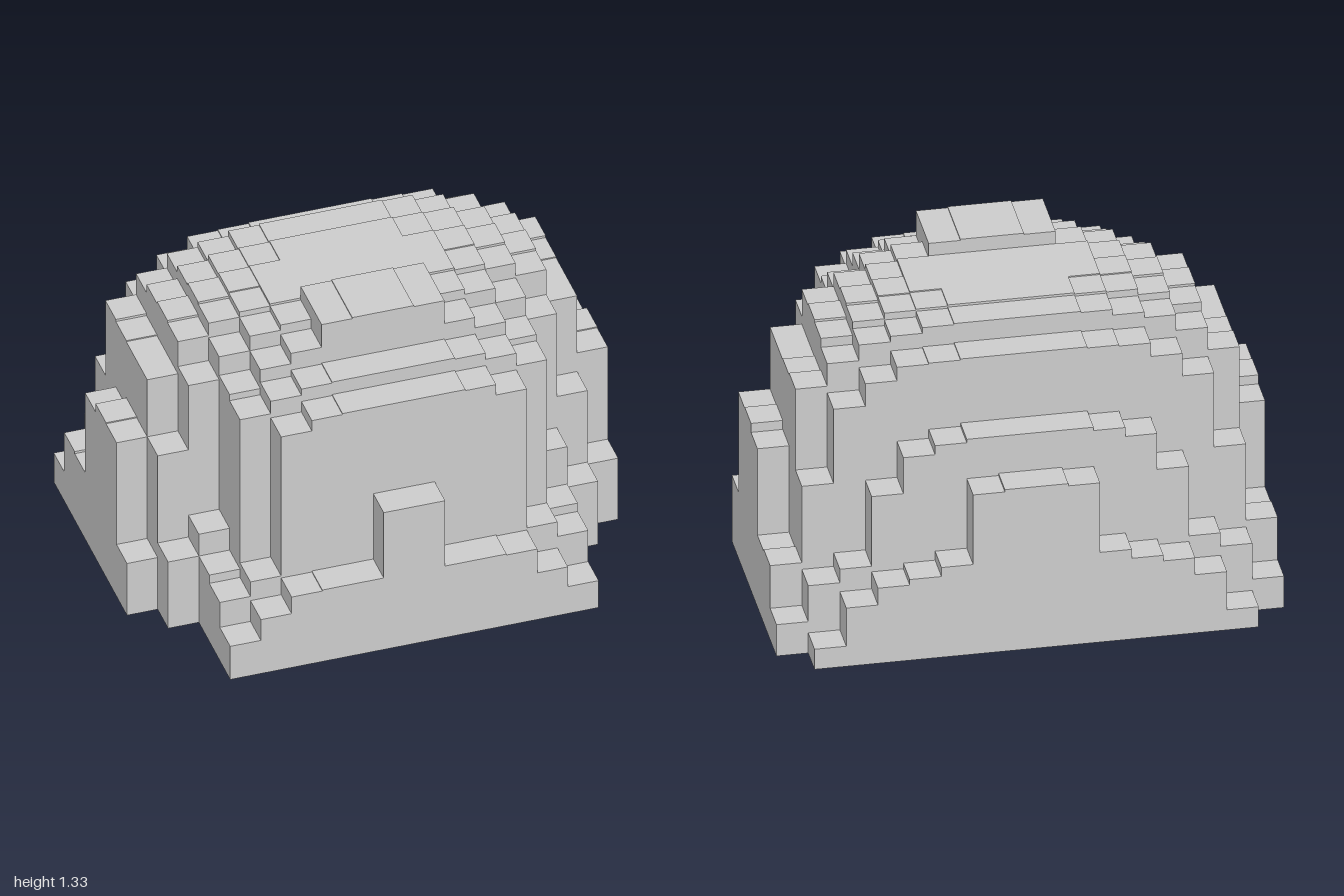
import * as THREE from 'three';
import { mergeGeometries } from 'three/addons/utils/BufferGeometryUtils.js';

const CELL_X = 0.125, CELL_Z = 0.13, COLUMNS = 16, ROWS = 12;

// Heights of each terrace row, back to front, from the middle column outwards.
const rows = [
  ['backStep', [0.72, 0.71, 0.40, 0.36, 0.335, 0.26, 0.09]],
  ['backLowerTerrace', [0.885, 0.885, 0.87, 0.83, 0.67, 0.36, 0.30, 0.14]],
  ['backUpperTerrace', [1.17, 1.17, 1.165, 1.16, 1.10, 1.0, 0.67, 0.33]],
  ['crownBackEdge', [1.255, 1.255, 1.25, 1.225, 1.20, 1.13, 1.03, 0.32]],
  ['crownBack', [1.265, 1.265, 1.26, 1.255, 1.23, 1.17, 1.02, 0.705]],
  ['crownMiddle', [1.265, 1.265, 1.265, 1.26, 1.24, 1.18, 1.015, 0.745]],
  ['crownFront', [1.265, 1.265, 1.265, 1.255, 1.23, 1.17, 1.015, 0.74]],
  ['peakBack', [1.325, 1.32, 1.255, 1.23, 1.16, 1.05, 0.65, 0.295]],
  ['peakFront', [1.325, 1.32, 1.21, 1.16, 1.07, 0.50, 0.305]],
  ['frontUpperTerrace', [1.135, 1.135, 1.13, 1.10, 1.04, 0.32]],
  ['frontLowerTerrace', [1.075, 1.075, 1.07, 1.02, 0.35, 0.28]],
  ['frontStep', [0.66, 0.345, 0.345, 0.34, 0.225, 0.13]],
];

// Uneven blocks on the right half: row -> { steps from the middle: height }
const rightTweaks = {
  7: { 6: 0.74, 7: 0.25 },
  8: { 5: 0.425, 6: 0.32 },
  11: { 4: 0.26, 5: 0.16 },
};

// One block column standing on the ground
function block(column, row, height) {
  const x = (column + 0.5 - COLUMNS / 2) * CELL_X;
  const z = (row + 0.5 - ROWS / 2) * CELL_Z;
  return new THREE.BoxGeometry(CELL_X, height, CELL_Z).translate(x, height / 2, z);
}

export function createModel() {
  const group = new THREE.Group();
  group.name = 'steppedMound';
  const material = new THREE.MeshStandardMaterial({ color: 0xcccccc, flatShading: true });

  // Each row mirrors its half profile about the middle
  rows.forEach(([name, profile], row) => {
    const blocks = [];
    profile.forEach((height, i) => {
      blocks.push(block(COLUMNS / 2 + i, row, height));
      blocks.push(block(COLUMNS / 2 - 1 - i, row, rightTweaks[row]?.[i] ?? height));
    });
    const mesh = new THREE.Mesh(mergeGeometries(blocks), material);
    mesh.name = name;
    group.add(mesh);
  });
  return group;
}
